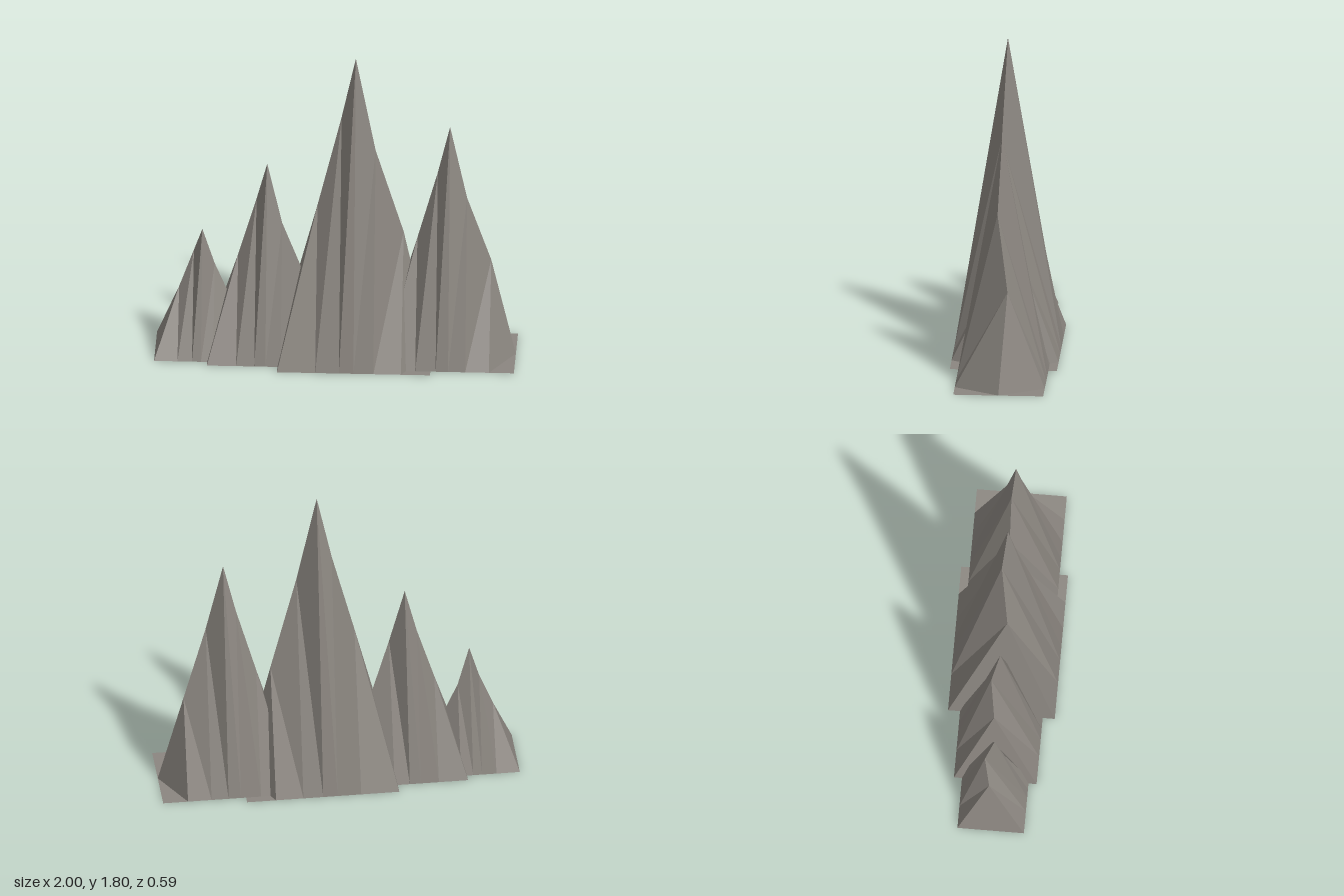
import * as THREE from 'three';

const rock = new THREE.MeshStandardMaterial({ color: 0x8b8680, flatShading: true, side: THREE.DoubleSide });
rock.name = 'rock grey';

// Ridge stations shared by every peak: offset along x (of half length) and height (of apex height)
const STATIONS = [[-1, 0], [-0.5, 0.5], [-0.19, 0.79], [0, 1], [0.26, 0.695], [0.62, 0.4], [1, 0]];

// One open ridge: a zigzag crest joined to straight front and back foot lines
function makePeak(name, cx, half, height, depth, crestZ) {
  const pos = [];
  const crest = STATIONS.map(([x, y], i) => [cx + x * half, y * height, crestZ[i]]);
  const foot = (i, side) => [crest[i][0], 0, side * depth];
  for (let i = 0; i < crest.length - 1; i++) {
    for (const side of [1, -1]) {
      const a = foot(i, side), b = foot(i + 1, side), c = crest[i + 1], d = crest[i];
      const tris = side > 0 ? [a, b, c, a, c, d] : [a, c, b, a, d, c];
      tris.forEach((p) => pos.push(...p));
    }
  }
  const geo = new THREE.BufferGeometry();
  geo.setAttribute('position', new THREE.Float32BufferAttribute(pos, 3));
  geo.computeVertexNormals();
  const mesh = new THREE.Mesh(geo, rock);
  mesh.name = name;
  return mesh;
}

export function createModel() {
  const group = new THREE.Group();
  group.name = 'mountainRange';
  group.add(
    makePeak('smallPeak', -0.74, 0.26, 0.73, 0.185, [0, -0.02, -0.05, 0, -0.025, -0.02, 0]),
    makePeak('mediumPeak', -0.38, 0.325, 1.14, 0.23, [0, -0.02, -0.045, 0, 0.03, -0.03, 0]),
    makePeak('mainPeak', 0.112, 0.425, 1.8, 0.297, [0, 0.015, -0.027, 0, 0.027, -0.04, 0]),
    makePeak('rightPeak', 0.635, 0.365, 1.39, 0.25, [0, -0.02, -0.02, 0, 0.02, -0.043, 0]),
  );
  return group;
}
